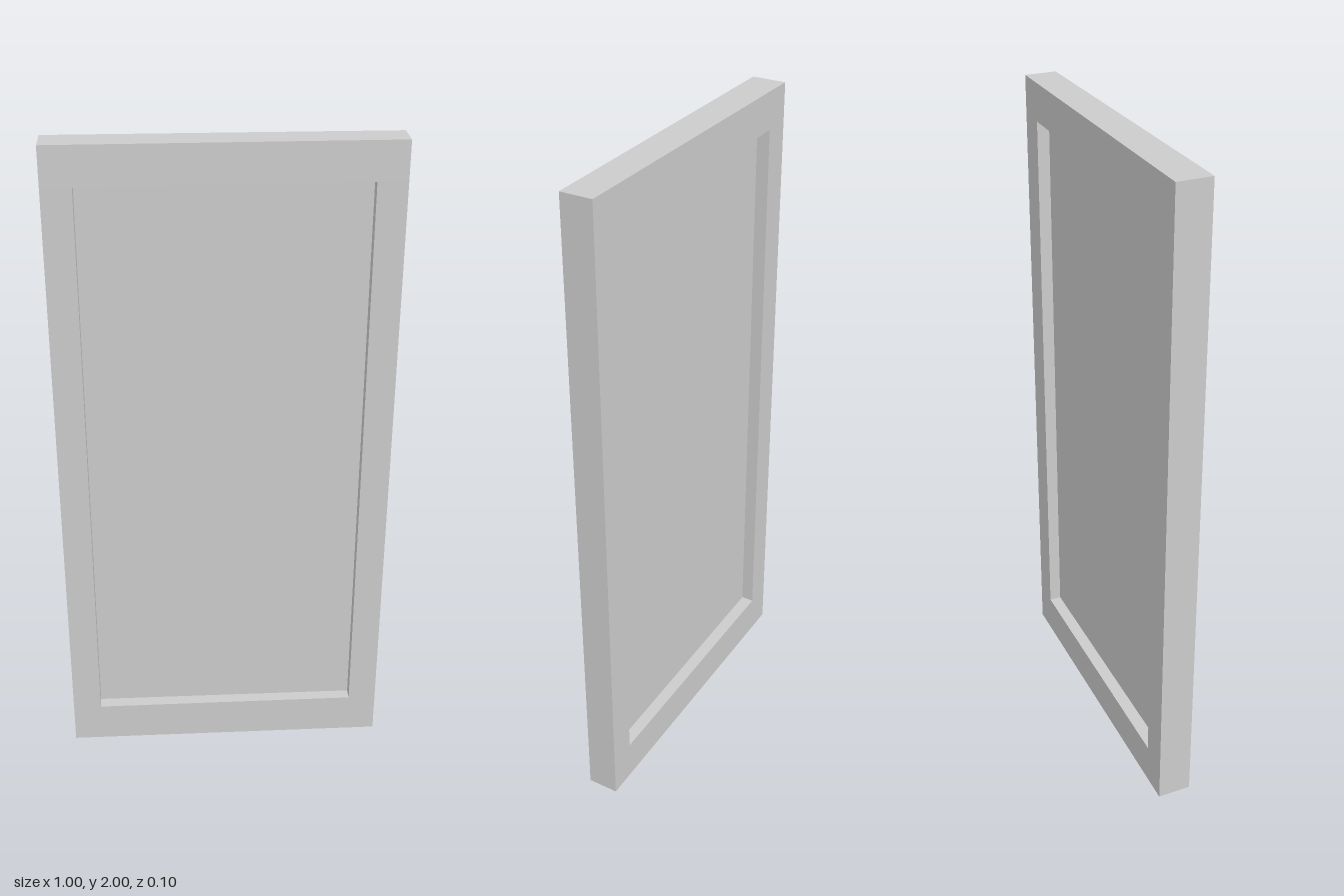
import * as THREE from 'three';

const material = new THREE.MeshStandardMaterial({ color: 0xcccccc, flatShading: true });

// Outer edges of the frame and of its opening
const OUT = { x0: -0.5, x1: 0.5, y0: 0, y1: 2 };
const IN = { x0: -0.412, x1: 0.413, y0: 0.128, y1: 1.885 };

// Half depth of the frame: very slightly thinner towards +x
const halfDepth = (x) => 0.05 - 0.004 * x;

// Box between two corners; depth is a fraction of the frame depth
function board(name, x0, x1, y0, y1, depth = 1) {
  const geometry = new THREE.BoxGeometry(x1 - x0, y1 - y0, 2);
  geometry.translate((x0 + x1) / 2, (y0 + y1) / 2, 0);
  const p = geometry.attributes.position;
  for (let i = 0; i < p.count; i++) {
    p.setZ(i, p.getZ(i) * halfDepth(p.getX(i)) * depth);
  }
  geometry.computeVertexNormals();
  const mesh = new THREE.Mesh(geometry, material);
  mesh.name = name;
  return mesh;
}

export function createModel() {
  const door = new THREE.Group();
  door.name = 'panelDoor';
  door.add(
    // Rails run the full width, stiles fit between them
    board('topRail', OUT.x0, OUT.x1, IN.y1, OUT.y1),
    board('bottomRail', OUT.x0, OUT.x1, OUT.y0, IN.y0),
    board('rightStile', OUT.x0, IN.x0, IN.y0, IN.y1),
    board('leftStile', IN.x1, OUT.x1, IN.y0, IN.y1),
    // Thin panel recessed from both faces
    board('panel', IN.x0, IN.x1, IN.y0, IN.y1, 0.22),
  );
  return door;
}
